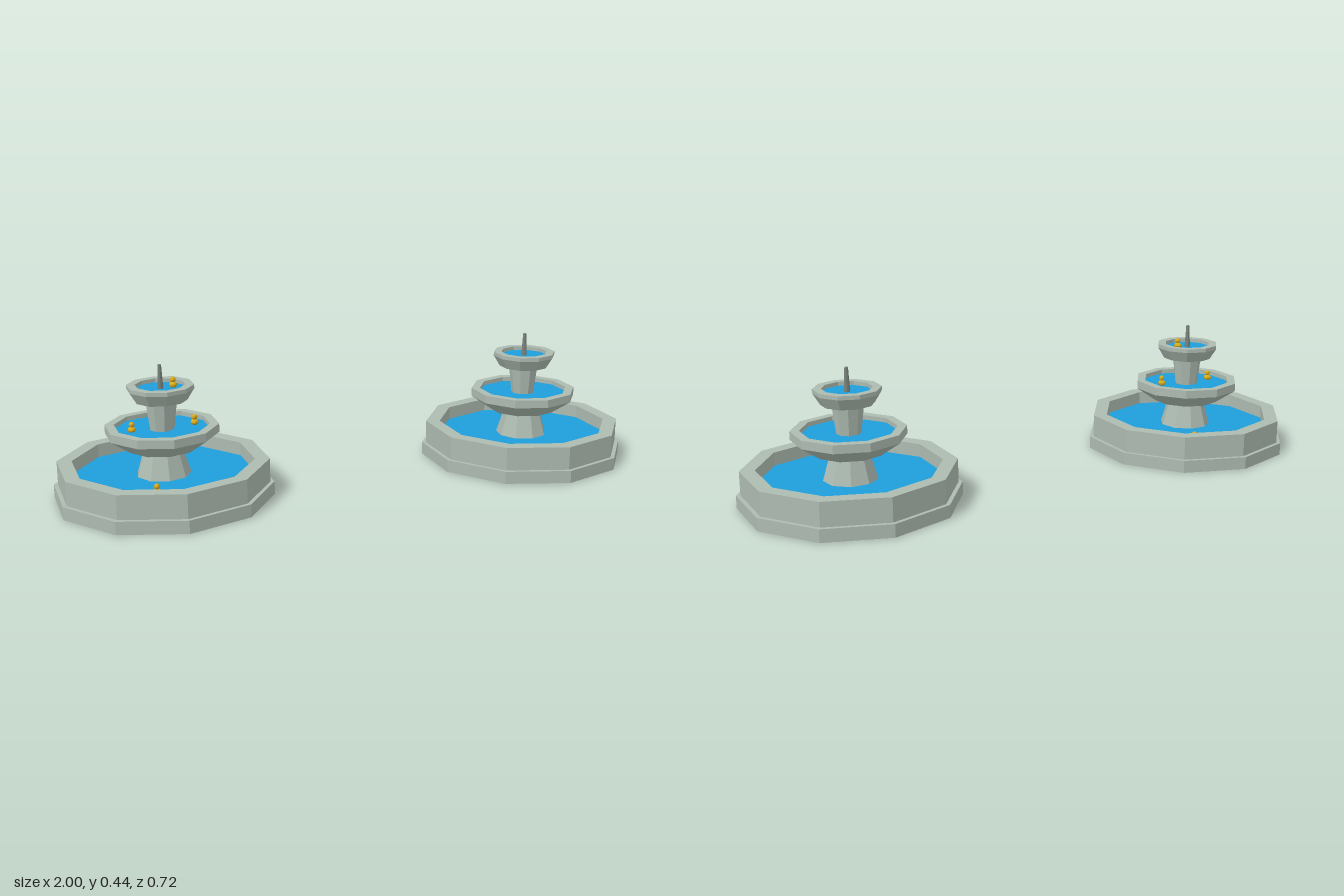
import * as THREE from 'three';

const flat = (color) => new THREE.MeshStandardMaterial({ color, flatShading: true });
const stone = flat(0xadbbb1);
const water = flat(0x1e9ddb);
const metal = flat(0x79827c);
const yellow = flat(0xd9ab1c);
const orange = flat(0xc8741a);

// Faceted turned part; the profile runs from the bottom outwards and up
function turned(name, profile, sides, material) {
  const points = profile.map(([r, y]) => new THREE.Vector2(r, y));
  const mesh = new THREE.Mesh(new THREE.LatheGeometry(points, sides), material);
  mesh.name = name;
  return mesh;
}

function createFountain() {
  const fountain = new THREE.Group();
  fountain.add(
    // Ground pool with a stepped plinth
    turned('poolWall', [[0, 0], [0.361, 0], [0.361, 0.043], [0.347, 0.043], [0.347, 0.123],
      [0.298, 0.123], [0.298, 0.06]], 10, stone),
    turned('poolWater', [[0.298, 0.078], [0, 0.078]], 10, water),
    // Middle basin on its flared pedestal
    turned('pedestal', [[0.09, 0.076], [0.062, 0.17]], 9, stone),
    turned('middleBasin', [[0, 0.169], [0.116, 0.169], [0.185, 0.217], [0.185, 0.245],
      [0.155, 0.245], [0.155, 0.222]], 10, stone),
    turned('middleWater', [[0.155, 0.23], [0, 0.23]], 10, water),
    // Top basin on its stem
    turned('stem', [[0.04, 0.228], [0.052, 0.328]], 9, stone),
    turned('topBasin', [[0, 0.327], [0.086, 0.327], [0.109, 0.365], [0.109, 0.378],
      [0.081, 0.378], [0.081, 0.355]], 10, stone),
    turned('topWater', [[0.081, 0.365], [0, 0.365]], 10, water),
    // Spout
    turned('spout', [[0.01, 0.362], [0.006, 0.443], [0.004, 0.445], [0, 0.445]], 9, metal),
  );
  return fountain;
}

// Small floating toy duck, facing +z
function createDuck() {
  const duck = new THREE.Group();
  duck.name = 'duck';
  const body = new THREE.Mesh(new THREE.SphereGeometry(0.014, 8, 6), yellow);
  body.name = 'duckBody';
  body.scale.set(0.95, 0.75, 1.1);
  body.position.y = 0.007;
  const head = new THREE.Mesh(new THREE.SphereGeometry(0.0095, 8, 6), yellow);
  head.name = 'duckHead';
  head.position.set(0, 0.024, 0.002);
  const beak = new THREE.Mesh(new THREE.ConeGeometry(0.004, 0.009, 5), orange);
  beak.name = 'duckBeak';
  beak.rotation.x = Math.PI / 2;
  beak.position.set(0, 0.023, 0.0135);
  duck.add(body, head, beak);
  return duck;
}

export function createModel() {
  const model = new THREE.Group();
  model.name = 'fountains';

  const left = createFountain();
  left.name = 'leftFountain';
  left.position.x = 0.657;

  const right = createFountain();
  right.name = 'rightFountain';
  right.position.x = -0.657;

  // Ducks: x, y, z within the right fountain
  const ducks = [
    [0.042, 0.367, 0],
    [0.108, 0.235, 0],
    [-0.098, 0.23, 0],
    [0.108, 0.078, -0.208],
    [-0.061, 0.078, 0.186],
  ];
  for (const [x, y, z] of ducks) {
    const duck = createDuck();
    duck.position.set(x, y, z);
    right.add(duck);
  }

  model.add(left, right);
  return model;
}
